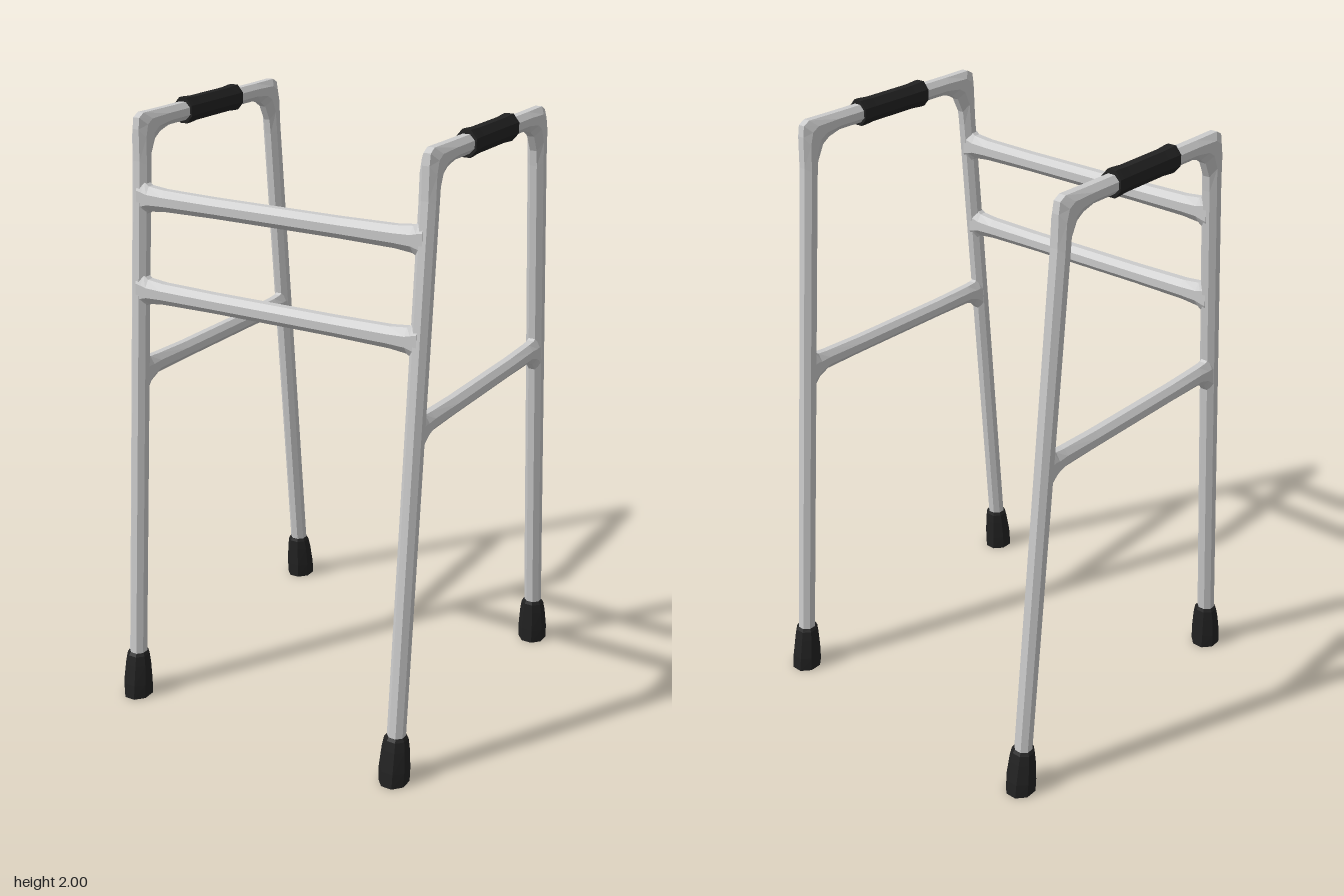
import * as THREE from 'three';

const metal = new THREE.MeshStandardMaterial({ color: 0xcccccc, flatShading: true });
const rubber = new THREE.MeshStandardMaterial({ color: 0x222222, flatShading: true });
const SIDES = 8;
const LEG_X = 0.507;
const V = (x, y, z) => new THREE.Vector3(x, y, z);

// Centre line of a sloping leg in z at height y
const legZ = (y) => 0.53 - 0.0875 * y;

// Skin over rings { c: centre, u, v: half axes }, with u x v pointing along the run; both ends capped
function loft(name, rings, material) {
  const pos = [], index = [];
  const k = 1 / Math.cos(Math.PI / SIDES);
  for (const { c, u, v } of rings) {
    for (let i = 0; i < SIDES; i++) {
      const a = ((i + 0.5) / SIDES) * Math.PI * 2;
      const p = c.clone().addScaledVector(u, k * Math.cos(a)).addScaledVector(v, k * Math.sin(a));
      pos.push(p.x, p.y, p.z);
    }
  }
  for (let r = 0; r < rings.length - 1; r++) {
    for (let i = 0; i < SIDES; i++) {
      const a = r * SIDES + i, b = r * SIDES + ((i + 1) % SIDES);
      index.push(a, b, b + SIDES, a, b + SIDES, a + SIDES);
    }
  }
  const last = (rings.length - 1) * SIDES;
  for (let i = 1; i < SIDES - 1; i++) {
    index.push(0, i + 1, i, last, last + i, last + i + 1);
  }
  const geometry = new THREE.BufferGeometry();
  geometry.setAttribute('position', new THREE.Float32BufferAttribute(pos, 3));
  geometry.setIndex(index);
  geometry.computeVertexNormals();
  const mesh = new THREE.Mesh(geometry, material);
  mesh.name = name;
  return mesh;
}

// Bent side tube: each row is outer z, y and inner z, y, from the front foot up to the handle
function sideFrame() {
  const half = [
    [legZ(0.08) + 0.028, 0.08, legZ(0.08) - 0.028, 0.08],
    [legZ(1.84) + 0.028, 1.84, legZ(1.8) - 0.028, 1.8],
    [0.394, 1.94, 0.338, 1.85],
    [0.388, 1.975, 0.313, 1.9],
    [0.365, 1.988, 0.285, 1.918],
    [0.26, 1.987, 0.24, 1.93],
  ];
  const back = half.map(([oz, oy, iz, iy]) => [-oz, oy, -iz, iy]).reverse();
  const rings = [...half, ...back].map(([oz, oy, iz, iy]) => ({
    c: V(0, (oy + iy) / 2, (oz + iz) / 2),
    u: V(0.028, 0, 0),
    v: V(0, (iy - oy) / 2, (iz - oz) / 2).negate(),
  }));
  // reverse so that u x v follows the run
  return loft('sideFrame', rings.reverse(), metal);
}

// Straight bar with flared ends; rows run from the end to the middle: position, top, bottom
function bar(name, axis, rows, halfDepth, z = () => 0) {
  const full = [...rows.map(([s, t, b]) => [-s, t, b]), ...[...rows].reverse()];
  const rings = full.map(([s, top, bottom]) => {
    const y = (top + bottom) / 2, h = (top - bottom) / 2;
    return axis === 'x'
      ? { c: V(s, y, z(y)), u: V(0, h, 0), v: V(0, 0, halfDepth) }
      : { c: V(0, y, s), u: V(halfDepth, 0, 0), v: V(0, h, 0) };
  });
  return loft(name, rings, metal);
}

// Tapered rubber tip under a leg; rows are height, z shift, half width, half depth
function foot(sign) {
  const rows = [
    [0, 0.528, 0.045, 0.05],
    [0.05, 0.525, 0.046, 0.048],
    [0.12, 0.519, 0.041, 0.04],
    [0.152, 0.516, 0.036, 0.035],
    [0.162, 0.515, 0.03, 0.03],
  ];
  return loft(
    sign > 0 ? 'frontFoot' : 'rearFoot',
    rows.map(([y, z, w, d]) => ({ c: V(0, y, sign * z), u: V(0, 0, d), v: V(w, 0, 0) })),
    rubber,
  );
}

// Hand grip, slightly thicker at its ends
function grip() {
  const rows = [[-0.146, 0.034], [-0.13, 0.034], [-0.09, 0.031], [0.09, 0.031], [0.13, 0.034], [0.146, 0.034]];
  return loft(
    'handGrip',
    rows.map(([z, r]) => ({ c: V(0, 1.959, z), u: V(r, 0, 0), v: V(0, r + 0.007, 0) })),
    rubber,
  );
}

export function createModel() {
  const model = new THREE.Group();
  model.name = 'walkingFrame';

  for (const side of [1, -1]) {
    const group = new THREE.Group();
    group.name = side > 0 ? 'leftSide' : 'rightSide';
    group.position.x = side * LEG_X;
    group.add(sideFrame(), grip(), foot(1), foot(-1));
    // Side brace with a deeper gusset underneath
    group.add(bar('sideBrace', 'z', [
      [0.425, 1.21, 1.07], [0.404, 1.207, 1.094], [0.388, 1.197, 1.113], [0.35, 1.194, 1.13], [0.2, 1.19, 1.132],
    ], 0.027));
    model.add(group);
  }

  // Two front cross bars between the front legs
  for (const [name, y] of [['upperCrossBar', 1.724], ['lowerCrossBar', 1.428]]) {
    model.add(bar(name, 'x', [
      [0.507, y + 0.062, y - 0.062], [0.486, y + 0.052, y - 0.052], [0.468, y + 0.04, y - 0.04],
      [0.41, y + 0.034, y - 0.034], [0.22, y + 0.031, y - 0.031],
    ], 0.029, legZ));
  }
  return model;
}
